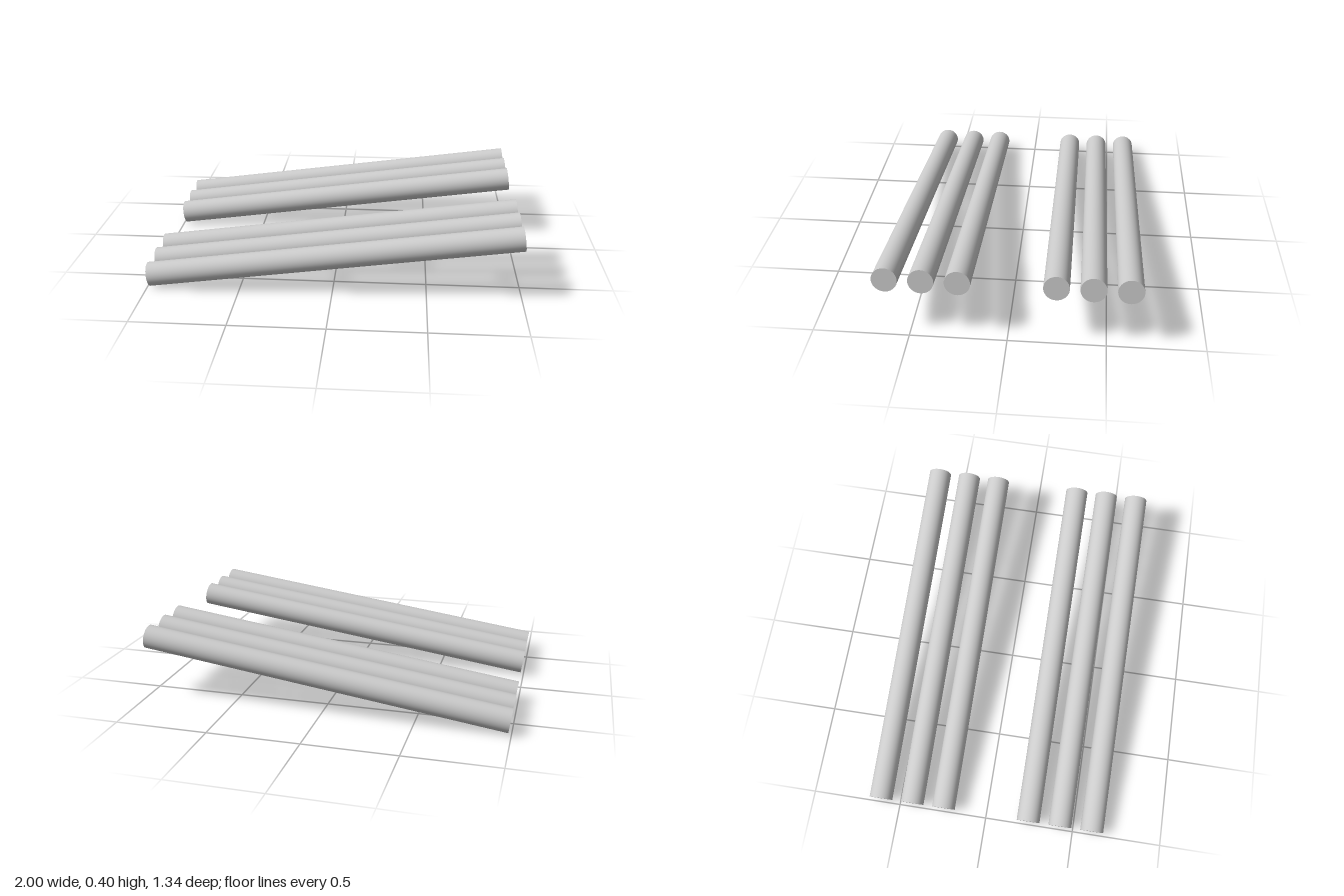
import * as THREE from 'three';

export function createModel() {
  const group = new THREE.Group();
  const material = new THREE.MeshStandardMaterial({ color: 0xcccccc });

  // One round rod, shared by all six positions
  const radius = 0.065, length = 2.001, tilt = THREE.MathUtils.degToRad(7.9);
  const geometry = new THREE.CylinderGeometry(radius, radius, length, 48);
  geometry.rotateZ(tilt - Math.PI / 2); // lie along x, rising towards +x
  const centreY = (length * Math.sin(tilt)) / 2 + radius * Math.cos(tilt);

  // Two mirrored banks of three parallel rods
  for (const side of [1, -1]) {
    const bank = new THREE.Group();
    bank.name = side > 0 ? 'frontRodBank' : 'backRodBank';
    [0.243, 0.424, 0.605].forEach((z, i) => {
      const rod = new THREE.Mesh(geometry, material);
      rod.name = `rod${i + 1}`;
      rod.position.set(0, centreY, side * z);
      bank.add(rod);
    });
    group.add(bank);
  }
  return group;
}
